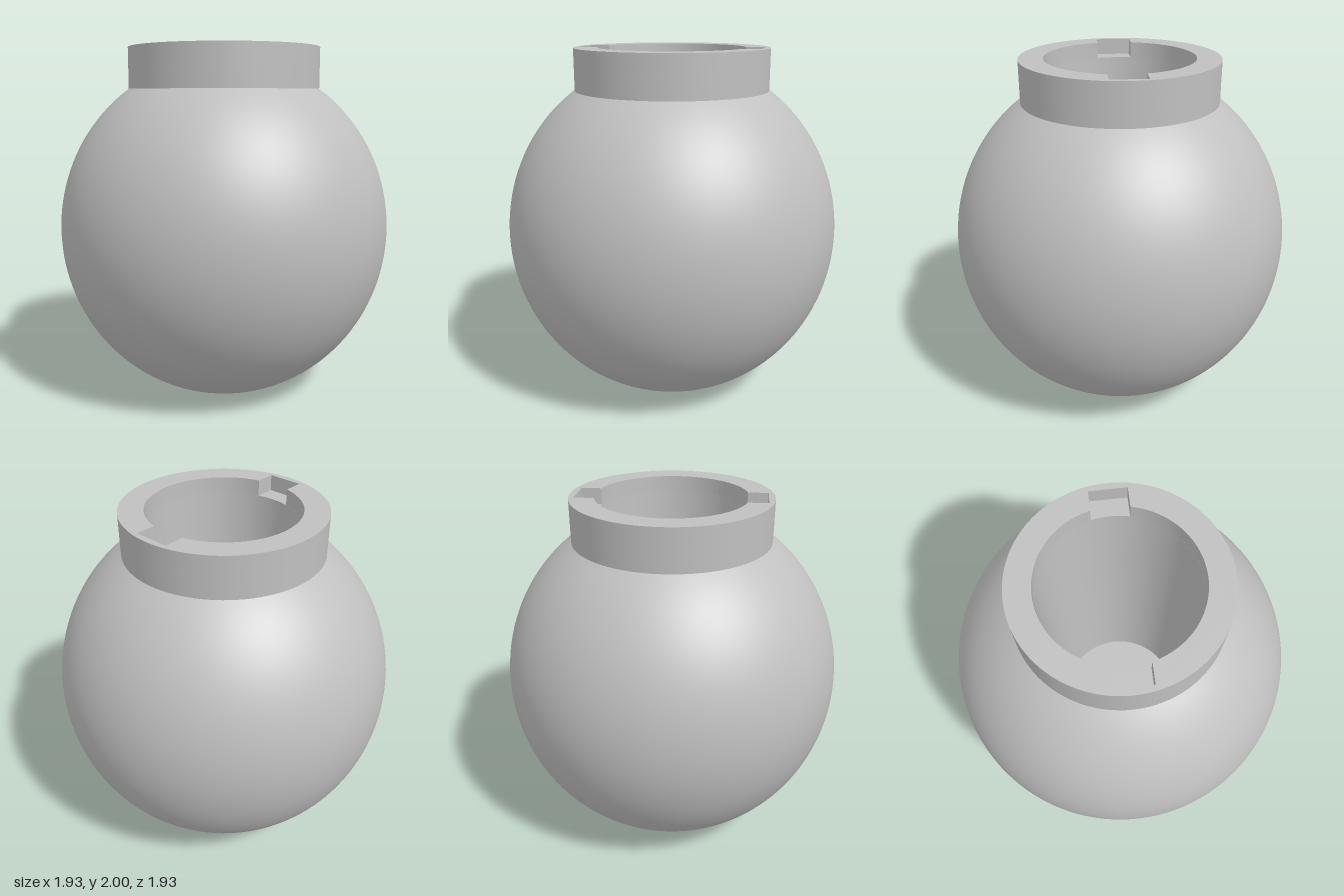
import * as THREE from 'three';
import { toCreasedNormals } from 'three/addons/utils/BufferGeometryUtils.js';

const SEG = 96;

export function createModel() {
  const group = new THREE.Group();
  const grey = new THREE.MeshStandardMaterial({ color: 0xc0c0c0 });
  grey.name = 'grey';

  const add = (name, geometry) => {
    const mesh = new THREE.Mesh(toCreasedNormals(geometry, 0.5), grey);
    mesh.name = name;
    group.add(mesh);
  };
  const lathe = (points) =>
    new THREE.LatheGeometry(points.map(([r, y]) => new THREE.Vector2(r, y)), SEG);

  const R = 0.967, RY = 1.002, CY = 0.945; // slightly tall globe
  const neckR = 0.557, boreR = 0.42, neckY = 1.765;
  const notchX = 0.52, notchZ = 0.1, notchY = 1.91;

  // globe with a flat foot, cut off where the neck starts
  const bodyPoints = [[0, 0]];
  const a0 = -Math.acos(0.325 / R), a1 = Math.acos(neckR / R);
  for (let i = 0; i <= 48; i++) {
    const a = a0 + (a1 - a0) * i / 48;
    bodyPoints.push([R * Math.cos(a), i === 0 ? 0 : CY + RY * Math.sin(a)]);
  }
  add('body', lathe(bodyPoints));

  // neck wall up to the notch floors
  add('neck', lathe([[neckR, neckY - 0.01], [neckR, notchY], [boreR, notchY]]));

  // tapered bore with a flat floor
  add('bore', lathe([[boreR, notchY], [0.363, 0.3], [0, 0.3]]));

  // rim: a ring with a notch on either side, open to the bore
  const rim = new THREE.Shape();
  rim.absarc(0, 0, neckR, 0, Math.PI * 2);
  const hole = new THREE.Path();
  const t = Math.asin(notchZ / boreR);
  hole.moveTo(notchX, -notchZ);
  hole.lineTo(notchX, notchZ);
  hole.absarc(0, 0, boreR, t, Math.PI - t);
  hole.lineTo(-notchX, notchZ);
  hole.lineTo(-notchX, -notchZ);
  hole.absarc(0, 0, boreR, Math.PI + t, Math.PI * 2 - t);
  hole.closePath();
  rim.holes.push(hole);
  const rimGeometry = new THREE.ExtrudeGeometry(rim, {
    depth: 2 - notchY, bevelEnabled: false, curveSegments: SEG,
  });
  rimGeometry.rotateX(-Math.PI / 2);
  rimGeometry.translate(0, notchY, 0);
  add('notchedRim', rimGeometry);

  return group;
}
